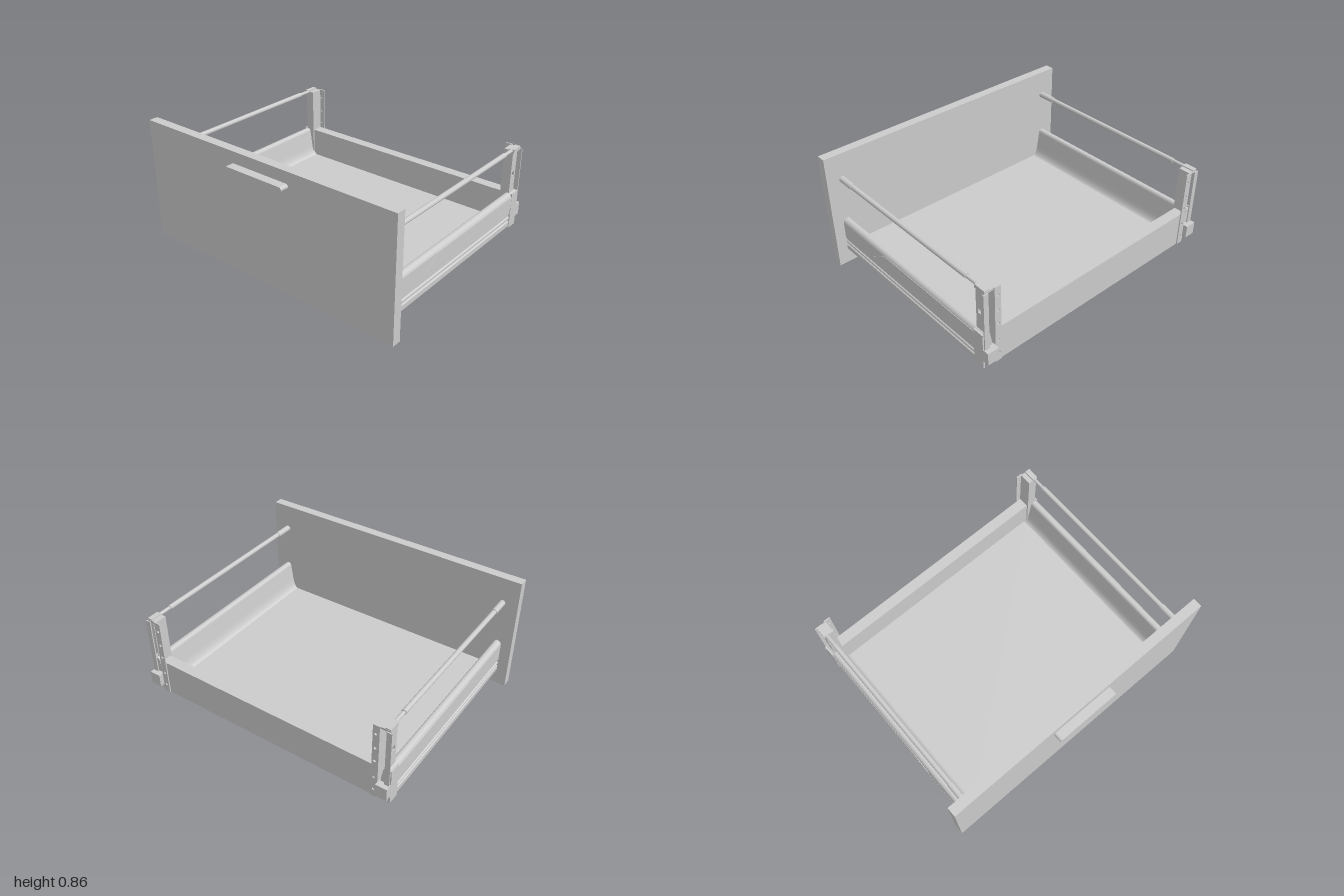
import * as THREE from 'three';

const grey = new THREE.MeshStandardMaterial({ color: 0xcccccc, side: THREE.DoubleSide });

export function createModel() {
  const root = new THREE.Group();
  root.name = 'drawer';

  const add = (name, geometry, parent = root) => {
    const mesh = new THREE.Mesh(geometry, grey);
    mesh.name = name;
    parent.add(mesh);
    return mesh;
  };

  // box given by its limits; x limits may be given in either order
  const box = (name, x0, x1, y0, y1, z0, z1, parent) =>
    add(name, new THREE.BoxGeometry(Math.abs(x1 - x0), y1 - y0, z1 - z0), parent)
      .position.set((x0 + x1) / 2, (y0 + y1) / 2, (z0 + z1) / 2);

  // outline in x, y pulled along z
  const prism = (name, shape, z0, z1, parent) => {
    const g = new THREE.ExtrudeGeometry(shape, { depth: z1 - z0, bevelEnabled: false, curveSegments: 12 });
    g.translate(0, 0, z0);
    return add(name, g, parent);
  };

  // outline in z, y turned into a thin plate between x0 and x1
  const sidePlate = (name, shape, x0, x1, parent) => {
    const depth = Math.abs(x1 - x0);
    const g = new THREE.ExtrudeGeometry(shape, { depth, bevelEnabled: false });
    g.rotateY(-Math.PI / 2); // shape x -> z, depth -> -x
    g.translate(Math.max(x0, x1), 0, 0);
    return add(name, g, parent);
  };

  const polygon = (pts) => new THREE.Shape(pts.map(([a, b]) => new THREE.Vector2(a, b)));
  const rect = (a0, a1, b0, b1) => polygon([[a0, b0], [a1, b0], [a1, b1], [a0, b1]]);

  // rod along z
  const rod = (name, x, y, r, z0, z1, parent) => {
    const g = new THREE.CylinderGeometry(r, r, z1 - z0, 20);
    g.rotateX(Math.PI / 2);
    add(name, g, parent).position.set(x, y, (z0 + z1) / 2);
  };

  // Front panel and rounded bar handle
  box('frontPanel', -1, 1, 0, 0.855, 0.69, 0.755);
  const bar = new THREE.Shape();
  bar.absarc(0.215, 0.758, 0.017, -Math.PI / 2, Math.PI / 2, false);
  bar.absarc(-0.215, 0.758, 0.017, Math.PI / 2, Math.PI * 1.5, false);
  prism('handle', bar, 0.755, 0.815);

  // Floor and back
  box('floor', -0.84, 0.84, 0.115, 0.145, -0.70, 0.69);
  box('backPanel', -0.84, 0.84, 0.105, 0.355, -0.775, -0.70);

  for (const s of [1, -1]) {
    const side = new THREE.Group();
    side.name = s > 0 ? 'leftSide' : 'rightSide';
    root.add(side);

    // Side wall: sloped inside, rounded rim, ribbed outside, narrow foot flange
    const wall = new THREE.Shape();
    wall.moveTo(s * 0.82, 0.115);
    wall.lineTo(s * 0.82, 0.145);
    wall.quadraticCurveTo(s * 0.845, 0.16, s * 0.855, 0.22);
    wall.lineTo(s * 0.873, 0.34);
    wall.quadraticCurveTo(s * 0.878, 0.36, s * 0.895, 0.36);
    wall.quadraticCurveTo(s * 0.918, 0.36, s * 0.926, 0.335);
    const ribs = [[0.926, 0.205], [0.918, 0.198], [0.918, 0.185], [0.926, 0.178], [0.926, 0.168],
      [0.918, 0.161], [0.918, 0.152], [0.926, 0.145], [0.926, 0.112], [0.918, 0.112],
      [0.918, 0.135], [0.875, 0.135], [0.875, 0.10], [0.835, 0.10], [0.835, 0.115]];
    ribs.forEach(([x, y]) => wall.lineTo(s * x, y));
    prism('sideWall', wall, -0.77, 0.69, side);

    // Shallow pad with a slanted front end on the outer face
    sidePlate('outerPad', polygon([[-0.69, 0.255], [0.34, 0.255], [0.2, 0.335], [-0.69, 0.335]]),
      s * 0.925, s * 0.929, side);

    // Rear end cover and runner block
    box('rearCover', s * 0.918, s * 0.93, 0.10, 0.358, -0.77, -0.69, side);
    box('runnerBlock', s * 0.85, s * 0.93, 0.16, 0.25, -0.815, -0.76, side);
    box('runnerClip', s * 0.83, s * 0.88, 0.085, 0.102, -0.01, 0.085, side);

    // Rear post: folded channel with a drilled flange
    const post = new THREE.Group();
    post.name = 'rearPost';
    side.add(post);
    box('postFront', s * 0.84, s * 0.905, 0.14, 0.665, -0.70, -0.69, post);
    box('postInnerWeb', s * 0.84, s * 0.848, 0.11, 0.665, -0.78, -0.69, post);
    const web = rect(-0.75, -0.69, 0.30, 0.665);
    web.holes.push(rect(-0.733, -0.707, 0.48, 0.51));
    sidePlate('postOuterWeb', web, s * 0.897, s * 0.905, post);
    const flange = rect(s * 0.803, s * 0.848, 0.11, 0.675);
    for (const y of [0.17, 0.27, 0.40, 0.50, 0.61]) {
      const hole = new THREE.Path();
      hole.absarc(s * 0.823, y, 0.009, 0, Math.PI * 2, true);
      flange.holes.push(hole);
    }
    prism('postFlange', flange, -0.785, -0.777, post);
    box('postOuterFlange', s * 0.89, s * 0.925, 0.25, 0.66, -0.783, -0.775, post);
    box('postCap', s * 0.84, s * 0.905, 0.658, 0.672, -0.777, -0.69, post);

    // Railing with front sleeve and rear connector
    const railing = new THREE.Group();
    railing.name = 'railing';
    side.add(railing);
    rod('rail', s * 0.89, 0.668, 0.017, -0.60, 0.60, railing);
    rod('railSleeve', s * 0.89, 0.668, 0.021, 0.56, 0.69, railing);
    rod('railNeck', s * 0.89, 0.668, 0.012, -0.72, -0.59, railing);
    box('railConnector', s * 0.875, s * 0.912, 0.655, 0.68, -0.775, -0.69, railing);
  }

  return root;
}
